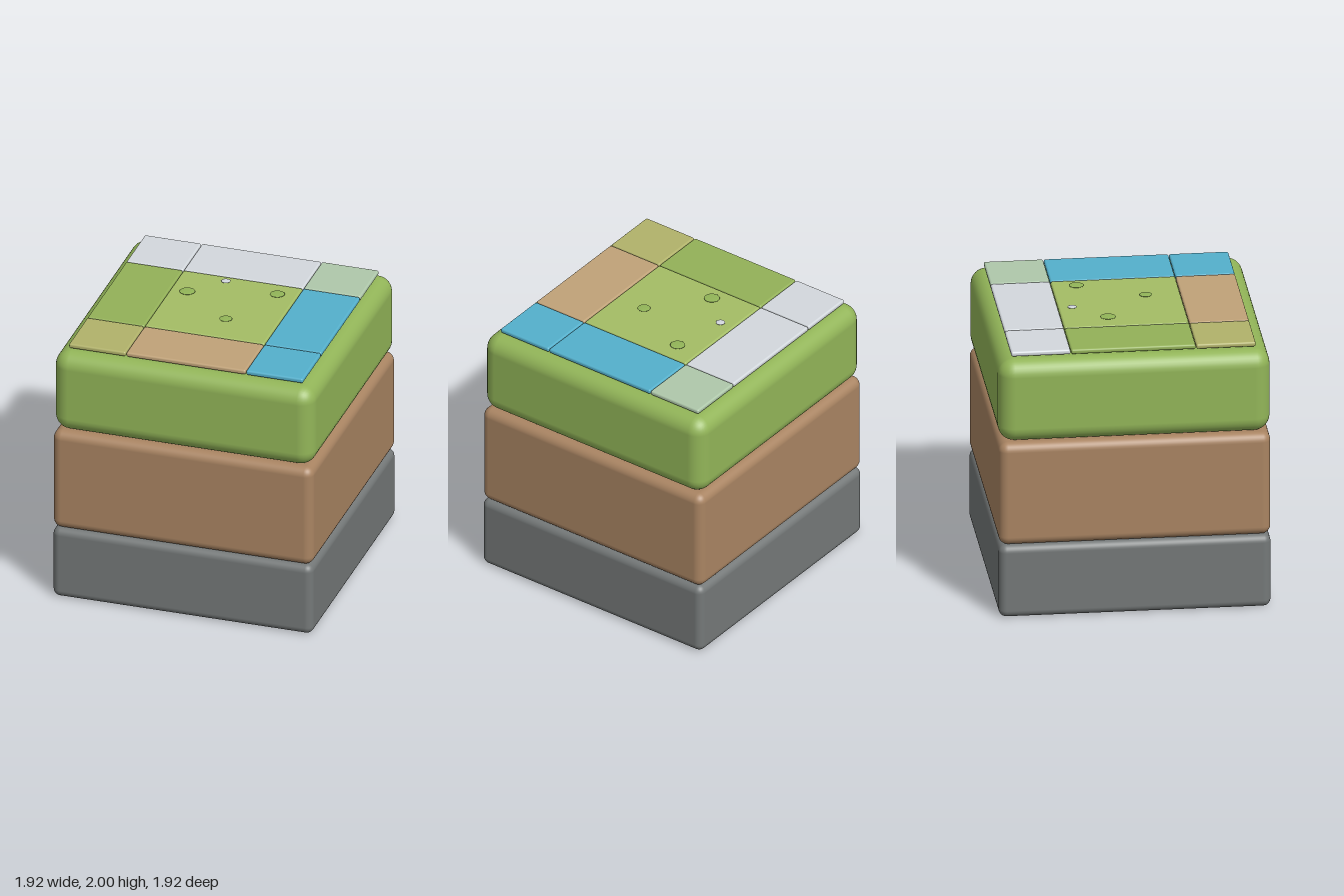
import * as THREE from 'three';
import { RoundedBoxGeometry } from 'three/addons/geometries/RoundedBoxGeometry.js';

function part(name, geometry, color, x, y, z) {
  const mesh = new THREE.Mesh(geometry, new THREE.MeshStandardMaterial({ color }));
  mesh.name = name;
  mesh.position.set(x, y, z);
  return mesh;
}

export function createModel() {
  const model = new THREE.Group();
  model.name = 'terrainBlock';

  // Stacked ground layers: name, bottom, top, edge radius, colour
  const layers = [
    ['stoneLayer', 0, 0.545, 0.055, 0x747878],
    ['soilLayer', 0.545, 1.315, 0.065, 0xa98462],
    ['grassLayer', 1.315, 1.93, 0.115, 0x92b558],
  ];
  for (const [name, y0, y1, radius, color] of layers) {
    const geometry = new RoundedBoxGeometry(1.925, y1 - y0, 1.925, 4, radius);
    model.add(part(name, geometry, color, 0, (y0 + y1) / 2, 0));
  }

  // Thin 3 x 3 tile map floating just above the grass, rows from back to front
  const edges = [-0.87, -0.446, 0.441, 0.866];
  const colors = [
    [0xd3d8dd, 0xd3d8dd, 0xafc8ab],
    [0x93b158, 0xa4bd65, 0x54b0cc],
    [0xb1b26a, 0xc0a278, 0x54b0cc],
  ];
  const tiles = new THREE.Group();
  tiles.name = 'mapTiles';
  const gap = 0.004;
  colors.forEach((row, j) => row.forEach((color, i) => {
    const w = edges[i + 1] - edges[i] - gap;
    const d = edges[j + 1] - edges[j] - gap;
    const x = (edges[i] + edges[i + 1]) / 2;
    const z = (edges[j] + edges[j + 1]) / 2;
    tiles.add(part('mapTile', new RoundedBoxGeometry(w, 0.036, d, 3, 0.014), color, x, 1.961, z));
  }));
  model.add(tiles);

  // Flattened markers hovering over the centre tile: x, z, radius, colour
  const markers = [
    [-0.31, -0.12, 0.056, 0x92b558],
    [0.305, -0.275, 0.053, 0x92b558],
    [0.075, 0.19, 0.046, 0x92b558],
    [-0.1, -0.35, 0.033, 0xd3d8dd],
  ];
  for (const [x, z, r, color] of markers) {
    const geometry = new THREE.SphereGeometry(r, 24, 12).scale(1, 0.005 / r, 1);
    model.add(part('marker', geometry, color, x, 1.995, z));
  }

  return model;
}
